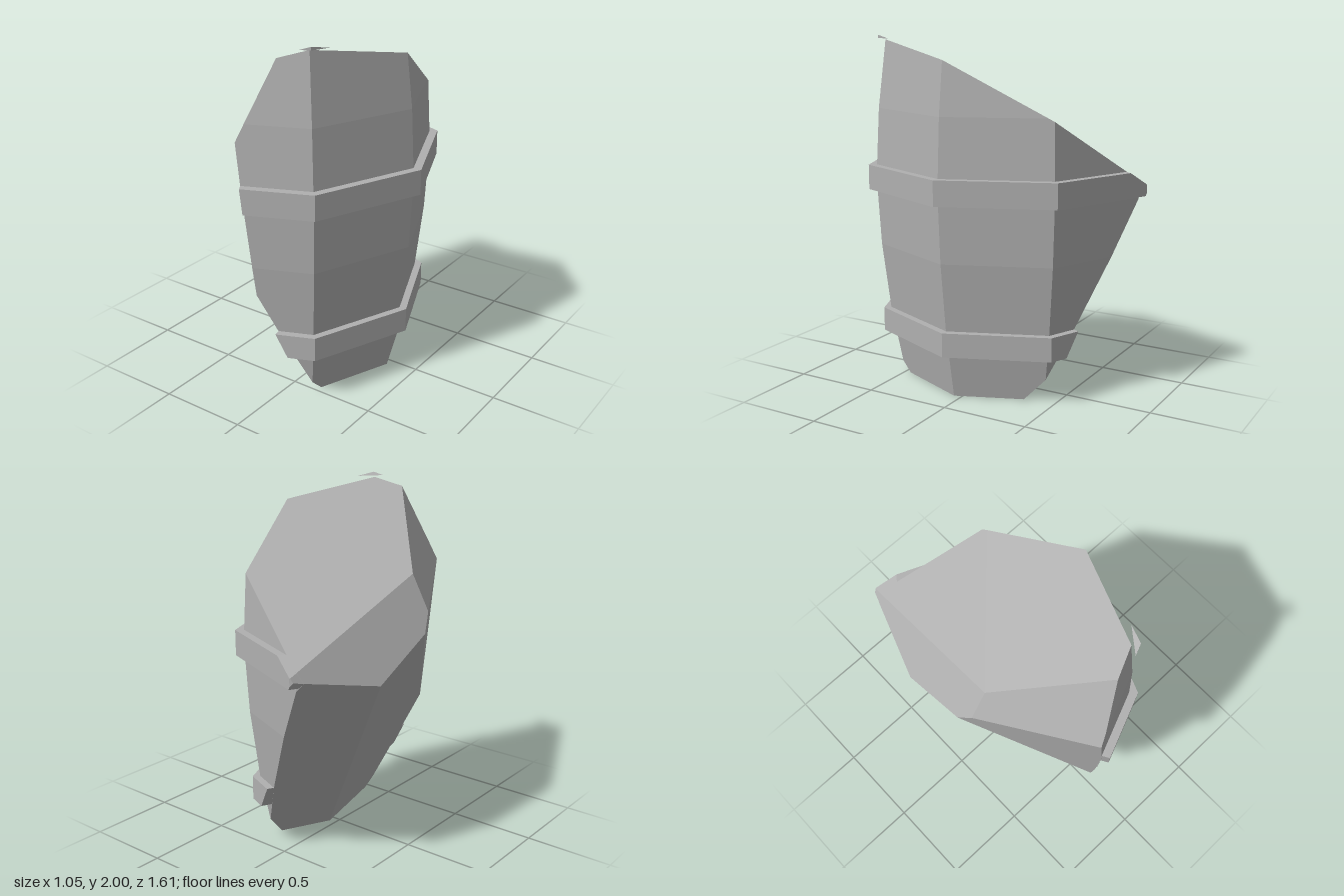
import * as THREE from 'three';
import { ConvexGeometry } from 'three/addons/geometries/ConvexGeometry.js';

const V = (x, y, z) => new THREE.Vector3(x, y, z);
const AXIS = { x: -0.335, z: 0.045 };   // barrel axis
const INSIDE = V(0.15, 1, 0.05);        // a point well inside the fragment
const HEIGHT = 2.38;

// Plane through three points, facing away from the inside of the fragment
function cut(a, b, c) {
  const plane = new THREE.Plane().setFromCoplanarPoints(a, b, c);
  return plane.distanceToPoint(INSIDE) > 0 ? plane.negate() : plane;
}

// Planes of an eight-sided barrel from a profile of [radius, y]
function barrelPlanes(profile) {
  const planes = [];
  const k = Math.cos(Math.PI / 8);
  for (let j = 0; j + 1 < profile.length; j++) {
    const [r0, y0] = profile[j], [r1, y1] = profile[j + 1];
    for (let i = 0; i < 8; i++) {
      const t = (i + 0.5) * Math.PI / 4, c = Math.cos(t), s = Math.sin(t);
      const n = V((y1 - y0) * c, (r0 - r1) * k, (y1 - y0) * s).normalize();
      planes.push(new THREE.Plane().setFromNormalAndCoplanarPoint(
        n, V(AXIS.x + r0 * k * c, y0, AXIS.z + r0 * k * s)));
    }
  }
  planes.push(new THREE.Plane(V(0, -1, 0), profile[0][1]));
  planes.push(new THREE.Plane(V(0, 1, 0), -profile[profile.length - 1][1]));
  return planes;
}

// Convex solid enclosed by a set of planes
function solid(planes) {
  const points = [];
  const bc = V(), ca = V(), ab = V();
  for (let i = 0; i < planes.length; i++)
    for (let j = i + 1; j < planes.length; j++)
      for (let k = j + 1; k < planes.length; k++) {
        const a = planes[i], b = planes[j], c = planes[k];
        bc.crossVectors(b.normal, c.normal);
        const det = a.normal.dot(bc);
        if (Math.abs(det) < 1e-6) continue;
        ca.crossVectors(c.normal, a.normal);
        ab.crossVectors(a.normal, b.normal);
        const p = V().addScaledVector(bc, -a.constant).addScaledVector(ca, -b.constant)
          .addScaledVector(ab, -c.constant).divideScalar(det);
        if (planes.every(q => q.distanceToPoint(p) < 1e-5) &&
            points.every(q => q.distanceTo(p) > 1e-3)) points.push(p);
      }
  return new ConvexGeometry(points);
}

export function createModel() {
  const group = new THREE.Group();
  const grey = new THREE.MeshStandardMaterial({ color: 0xb0b0b0 });
  grey.name = 'grey';

  // Corners of the broken faces
  const A = V(0.04, 1.923, 0.64), B = V(-0.38, 1.535, 0.16), C = V(-0.49, 1.32, 0.15);
  const D = V(-0.14, 1.49, 0.765), F = V(-0.52, 1.24, 0.09), G = V(-0.08, 0.62, 0.71);
  const H = V(-0.525, 1.05, -0.32), N = V(0.04, 0, -0.045), Q = V(0.153, 0.13, -0.443);
  const T = V(0.42, 1.88, 0.045);
  const cuts = [
    cut(A, B, T),   // sloping top
    cut(A, B, D),   // upper front
    cut(C, D, G),   // front side
    cut(B, F, H),   // inner side
    cut(H, N, G),   // lower front
    cut(H, N, Q),   // lower back
  ];

  const add = (name, profile, clip) => {
    const mesh = new THREE.Mesh(solid([...barrelPlanes(profile), ...clip]), grey);
    mesh.name = name;
    group.add(mesh);
  };

  // Bulging staves, symmetric about mid height
  const half = [[0.665, 0], [0.742, 0.397], [0.79, 0.793]];
  const mirrored = half.map(([r, y]) => [r, HEIGHT - y]).reverse();
  add('barrelBody', [...half, [0.812, HEIGHT / 2], ...mirrored], cuts);

  // Straight hoops, broken along the same faces
  const hoopCuts = cuts.map(p => new THREE.Plane(p.normal.clone(), p.constant + 0.001));
  const hoops = [['lowerHoop', 0.785, 0.265, 0.403], ['middleHoop', 0.856, 1.12, 1.262],
    ['upperHoopShard', 0.785, 1.977, 2.115]];
  for (const [name, r, y0, y1] of hoops) add(name, [[r, y0], [r, y1]], name === 'upperHoopShard' ? cuts : hoopCuts);

  return group;
}
